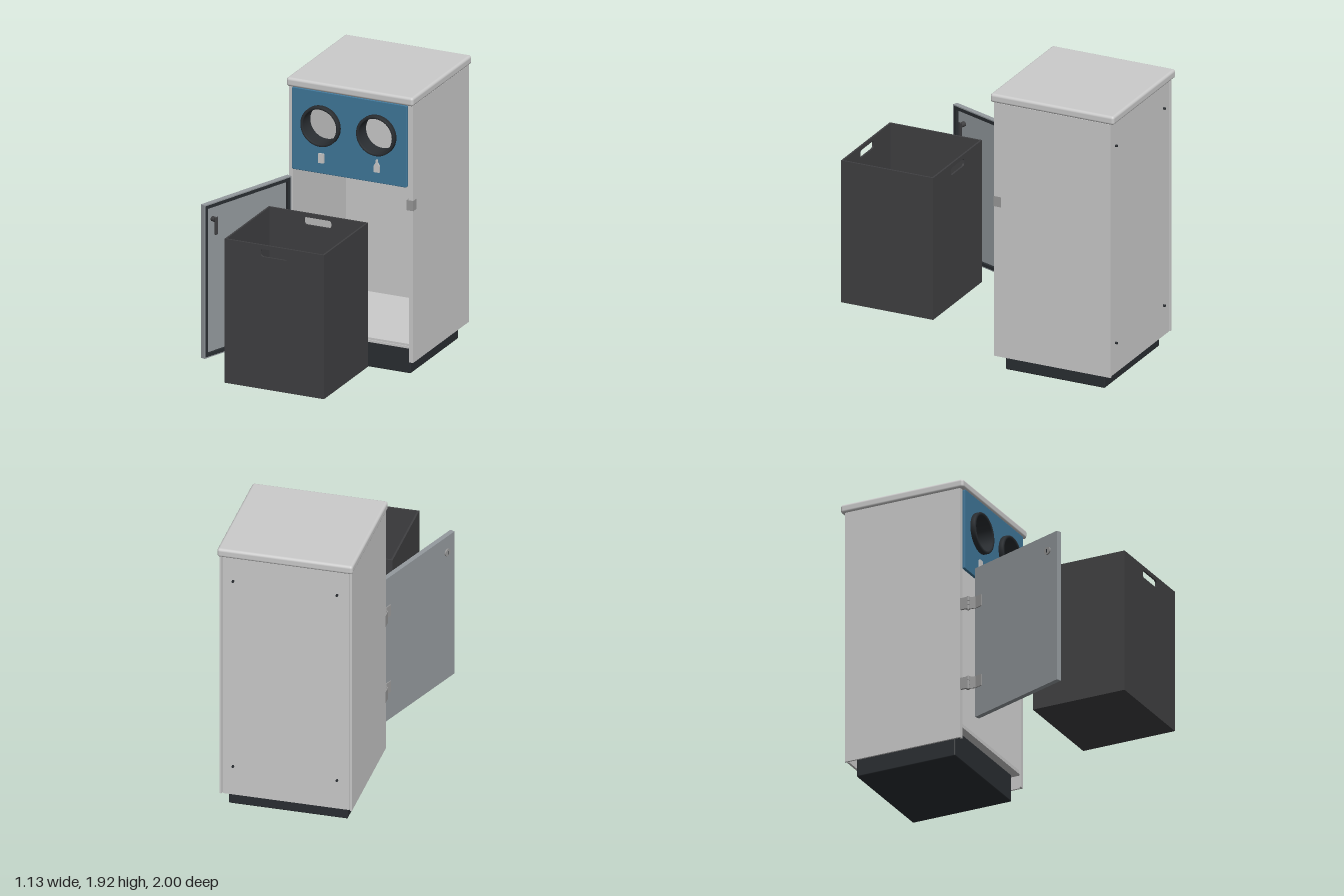
import * as THREE from 'three';
import { RoundedBoxGeometry } from 'three/addons/geometries/RoundedBoxGeometry.js';

const mat = (color, side = THREE.FrontSide) => new THREE.MeshStandardMaterial({ color, side });
const grey = mat(0xcccccc);
const blue = mat(0x40789b);
const black = mat(0x2a2e32);
const binDark = mat(0x404042);
const doorGrey = mat(0x949a9e);
const metal = mat(0x999999);

function add(parent, name, geometry, material) {
  const mesh = new THREE.Mesh(geometry, material);
  mesh.name = name;
  parent.add(mesh);
  return mesh;
}

// Box given by its limits on each axis; r > 0 rounds the edges
function box(parent, name, [x0, x1], [y0, y1], [z0, z1], material, r = 0) {
  const s = [x1 - x0, y1 - y0, z1 - z0];
  const geo = r ? new RoundedBoxGeometry(...s, 4, r) : new THREE.BoxGeometry(...s);
  const mesh = add(parent, name, geo, material);
  mesh.position.set((x0 + x1) / 2, (y0 + y1) / 2, (z0 + z1) / 2);
  return mesh;
}

function rect(Type, x0, x1, y0, y1, r = 0) {
  const s = new Type();
  if (!r) {
    return s.moveTo(x0, y0).lineTo(x1, y0).lineTo(x1, y1).lineTo(x0, y1).closePath();
  }
  s.moveTo(x0 + r, y0).lineTo(x1 - r, y0);
  s.absarc(x1 - r, y0 + r, r, -Math.PI / 2, 0);
  s.absarc(x1 - r, y1 - r, r, 0, Math.PI / 2);
  s.absarc(x0 + r, y1 - r, r, Math.PI / 2, Math.PI);
  s.absarc(x0 + r, y0 + r, r, Math.PI, Math.PI * 1.5);
  return s;
}

const extrude = (shape, depth, z, bevel = 0) => new THREE.ExtrudeGeometry(shape, {
  depth: depth - 2 * bevel, bevelEnabled: bevel > 0, bevelSize: bevel, bevelOffset: -bevel,
  bevelThickness: bevel, bevelSegments: 3, curveSegments: 32,
}).translate(0, 0, z + bevel);

function makeCabinet() {
  const g = new THREE.Group();
  g.name = 'cabinet';
  box(g, 'plinth', [-0.285, 0.505], [0, 0.19], [-0.91, -0.2], black, 0.008);
  box(g, 'lid', [-0.34, 0.56], [1.86, 1.92], [-1, -0.115], grey, 0.018);
  // Side walls with folded edges at front and back
  for (const [outer, dir] of [[-0.33, 1], [0.55, -1]]) {
    const span = (w) => [outer, outer + dir * w].sort((a, b) => a - b);
    box(g, 'sideWall', span(0.012), [0.1, 1.86], [-0.97, -0.14], grey);
    box(g, 'frontFold', span(0.03), [0.1, 1.86], [-0.152, -0.14], grey);
    box(g, 'backFold', span(0.014), [0.1, 1.86], [-0.972, -0.94], grey);
  }
  box(g, 'backWall', [-0.312, 0.532], [0.1, 1.86], [-0.965, -0.95], grey);
  box(g, 'floor', [-0.318, 0.538], [0.19, 0.205], [-0.95, -0.15], grey);
  box(g, 'lowerRail', [-0.3, 0.52], [0.19, 0.22], [-0.17, -0.155], grey);
  // Back bolts
  for (const x of [-0.23, 0.46]) for (const y of [0.31, 1.68]) {
    const bolt = add(g, 'backBolt', new THREE.CylinderGeometry(0.008, 0.008, 0.018, 12), black);
    bolt.rotation.x = Math.PI / 2;
    bolt.position.set(x, y, -0.97);
  }
  // Catch wrapped round the right edge
  box(g, 'doorCatch', [0.505, 0.552], [1.14, 1.21], [-0.19, -0.138], metal);
  return g;
}

function makeFascia() {
  const g = new THREE.Group();
  g.name = 'fascia';
  const holes = [-0.09, 0.305];
  const panel = rect(THREE.Shape, -0.3, 0.515, 1.3, 1.86, 0.01);
  for (const x of holes) {
    panel.holes.push(new THREE.Path().absarc(x, 1.63, 0.125, 0, Math.PI * 2, true));
  }
  add(g, 'fasciaPanel', extrude(panel, 0.02, -0.14, 0.004), blue);
  // Collars round the openings, continued inward as chutes
  const profile = [[0.117, -0.2], [0.117, -0.092], [0.121, -0.086], [0.133, -0.086],
    [0.137, -0.092], [0.137, -0.121], [0.124, -0.121], [0.124, -0.2]]
    .map(([r, z]) => new THREE.Vector2(r, z));
  for (const x of holes) {
    const geo = new THREE.LatheGeometry(profile, 56).rotateX(Math.PI / 2);
    const collar = add(g, 'openingCollar', geo, mat(0x2a2e32, THREE.DoubleSide));
    collar.position.set(x, 1.63, 0);
  }
  // Small can and bottle signs
  add(g, 'canSign', extrude(rect(THREE.Shape, -0.11, -0.07, 1.375, 1.44, 0.003), 0.012, -0.121), grey);
  const bottle = new THREE.Shape();
  const half = [[0.02, 1.375], [0.02, 1.42], [0.008, 1.44], [0.006, 1.46]];
  const outline = [...half, ...half.map(([x, y]) => [-x, y]).reverse()];
  outline.forEach(([x, y], i) => (i ? bottle.lineTo(x + 0.305, y) : bottle.moveTo(x + 0.305, y)));
  add(g, 'bottleSign', extrude(bottle, 0.012, -0.121), grey);
  return g;
}

function makeBin() {
  const g = new THREE.Group();
  g.name = 'bin';
  const t = 0.012, x = [-0.245, 0.46], y = [0.225, 1.21], z = [0.34, 1];
  // End walls with hand slots
  for (const z0 of [z[0], z[1] - t]) {
    const wall = rect(THREE.Shape, ...x, ...y);
    wall.holes.push(rect(THREE.Path, 0.012, 0.204, 1.13, 1.182, 0.018));
    add(g, 'binEndWall', extrude(wall, t, z0), binDark);
  }
  for (const x0 of [x[0], x[1] - t]) {
    box(g, 'binSideWall', [x0, x0 + t], y, [z[0] + t, z[1] - t], binDark);
  }
  box(g, 'binBottom', [x[0] + t, x[1] - t], [y[0], y[0] + t], [z[0] + t, z[1] - t], binDark);
  return g;
}

// Door in its own frame: x runs from hinge to free edge, +z is its outer face
function makeDoor() {
  const g = new THREE.Group();
  g.name = 'door';
  const w = 0.776, y0 = 0.235, y1 = 1.285;
  box(g, 'doorPanel', [0, w], [y0, y1], [0, 0.018], doorGrey);
  const rim = rect(THREE.Shape, 0, w, y0, y1);
  rim.holes.push(rect(THREE.Path, 0.008, w - 0.008, y0 + 0.008, y1 - 0.008));
  add(g, 'doorRim', extrude(rim, 0.016, -0.016), doorGrey);
  const seal = rect(THREE.Shape, 0.008, w - 0.008, y0 + 0.008, y1 - 0.008);
  seal.holes.push(rect(THREE.Path, 0.03, w - 0.03, y0 + 0.03, y1 - 0.03));
  add(g, 'doorSeal', extrude(seal, 0.018, -0.018), black);
  // Lock barrel through the door, with a hanging latch bar inside
  for (const [name, r, z0, z1] of [['lockFace', 0.026, 0.018, 0.028], ['lockBarrel', 0.017, -0.034, 0]]) {
    const lock = add(g, name, new THREE.CylinderGeometry(r, r, z1 - z0, 24), name === 'lockFace' ? metal : binDark);
    lock.rotation.x = Math.PI / 2;
    lock.position.set(0.69, 1.17, (z0 + z1) / 2);
  }
  box(g, 'lockKeyway', [0.687, 0.693], [1.158, 1.182], [0.027, 0.03], black);
  box(g, 'latchBar', [0.677, 0.703], [1.07, 1.19], [-0.042, -0.032], binDark, 0.004);
  g.position.set(-0.28, 0, -0.043);
  g.rotation.y = -1.925;
  return g;
}

function makeHinge(y) {
  const g = new THREE.Group();
  g.name = 'hinge';
  const h = 0.04;
  box(g, 'cabinetLeaf', [-0.33, -0.316], [-h, h], [-0.142, -0.09], metal);
  // Stacked knuckles on a pin
  for (let i = -1; i <= 1; i++) {
    const knuckle = add(g, 'knuckle', new THREE.CylinderGeometry(0.014, 0.014, 0.027, 16), metal);
    knuckle.position.set(-0.316, i * 0.029, -0.09);
  }
  const pin = add(g, 'hingePin', new THREE.CylinderGeometry(0.008, 0.008, 0.094, 12), metal);
  pin.position.set(-0.316, 0, -0.09);
  // Link and leaf reaching the outer face of the door
  const link = box(g, 'doorLink', [-0.312, -0.302], [-h, h], [-0.09, -0.03], metal);
  link.rotation.y = 0.2;
  const leaf = box(g, 'doorLeaf', [-0.315, -0.307], [-h, h], [-0.05, 0.01], metal);
  leaf.rotation.y = -0.354;
  g.position.y = y;
  return g;
}

export function createModel() {
  const model = new THREE.Group();
  model.name = 'recyclingCabinet';
  model.add(makeCabinet(), makeFascia(), makeBin(), makeDoor(), makeHinge(0.477), makeHinge(1.04));
  return model;
}
